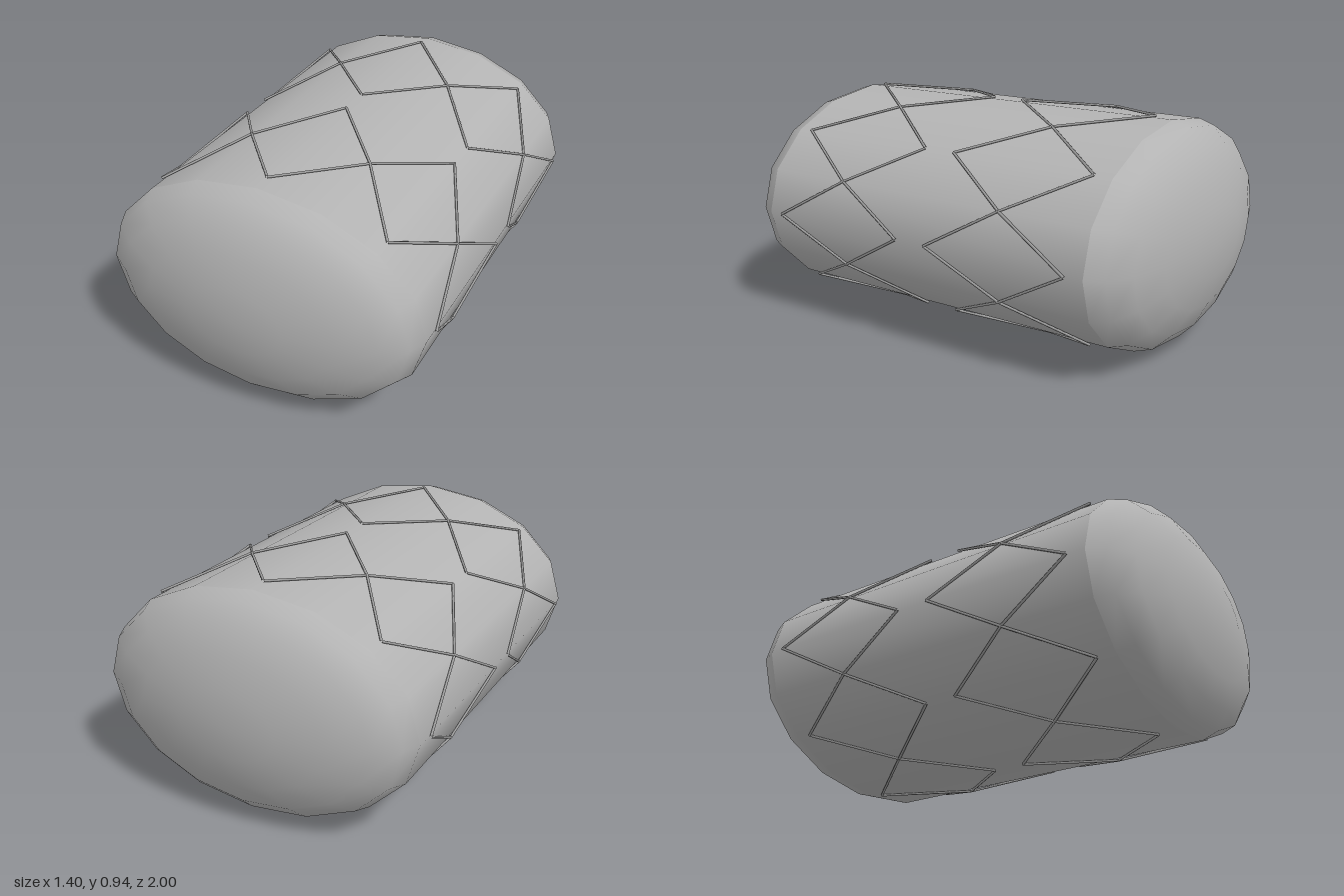
import * as THREE from 'three';
import { mergeGeometries, mergeVertices } from 'three/addons/utils/BufferGeometryUtils.js';

const CENTER_Y = 0.476;
const RX = 0.685, RY = 0.458;      // body half-width and half-height
const HALF = 0.772, DOME = 0.228;  // half-length of the barrel, depth of each end
const SIDES = 16;

export function createModel() {
  const bodyGrey = new THREE.MeshStandardMaterial({ color: 0xb3b3b3 });
  bodyGrey.name = 'body grey';
  const wireGrey = new THREE.MeshStandardMaterial({ color: 0x9c9c9c });
  wireGrey.name = 'wire grey';

  const model = new THREE.Group();
  model.name = 'ovalCapsule';
  const add = (name, geometry, material) => {
    const mesh = new THREE.Mesh(geometry, material);
    mesh.name = name;
    mesh.position.y = CENTER_Y;
    model.add(mesh);
  };

  // Oval barrel
  const barrel = new THREE.CylinderGeometry(1, 1, 2 * HALF, SIDES, 1, true);
  barrel.rotateX(Math.PI / 2).scale(RX, RY, 1);
  add('barrel', barrel, bodyGrey);

  // Domed ends, smooth in themselves with a crease at the rim
  for (const side of [1, -1]) {
    let dome = new THREE.SphereGeometry(1, SIDES, 5, 0, Math.PI * 2, 0, Math.PI / 2);
    dome.rotateX(side * Math.PI / 2).scale(RX, RY, DOME).translate(0, 0, side * HALF);
    dome.deleteAttribute('uv');
    dome.deleteAttribute('normal');
    dome = mergeVertices(dome, 1e-4);
    dome.computeVertexNormals();
    add(side > 0 ? 'frontDome' : 'backDome', dome, bodyGrey);
  }

  // Two lattice bands, each of two crossing zigzag wires
  const point = (i, z) => {
    const a = i * Math.PI * 2 / SIDES;
    return new THREE.Vector3(0.693 * Math.sin(a), 0.467 * Math.cos(a), z);
  };
  const strut = (a, b) =>
    new THREE.TubeGeometry(new THREE.LineCurve3(a, b), 1, 0.0055, 6, false);

  for (const side of [1, -1]) {
    const struts = [];
    for (const flip of [1, -1]) {
      // peak, middle, trough, middle
      const z = (i) => side * 0.385 + flip * 0.315 * [1, 0, -1, 0][i % 4];
      for (let i = 0; i < SIDES; i++) struts.push(strut(point(i, z(i)), point(i + 1, z(i + 1))));
    }
    add(side > 0 ? 'frontLattice' : 'backLattice', mergeGeometries(struts), wireGrey);
  }
  return model;
}
